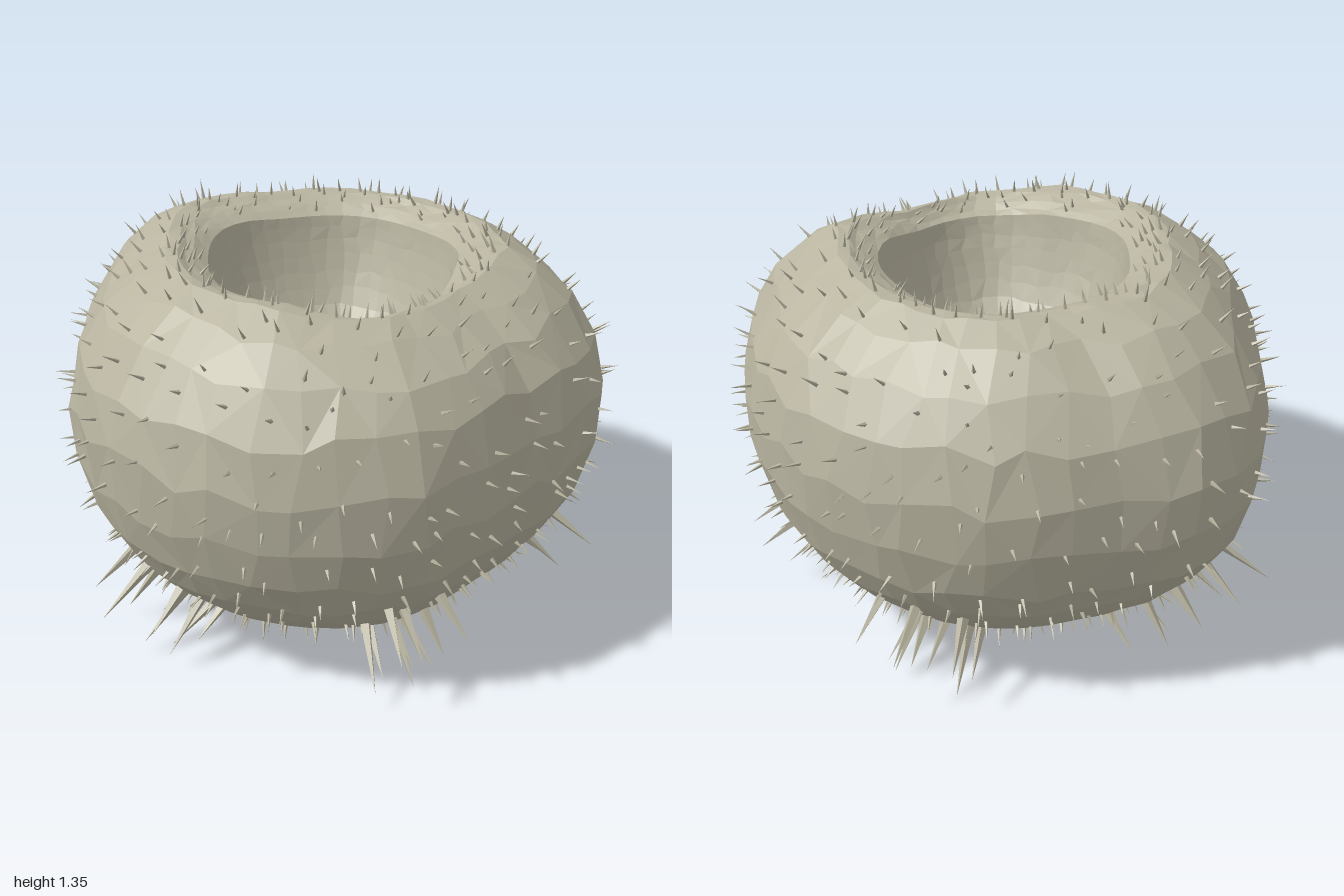
import * as THREE from 'three';
import { mergeGeometries } from 'three/addons/utils/BufferGeometryUtils.js';

const TAU = Math.PI * 2;

// Small seeded random generator
let seed = 7;
function rnd() {
  seed = (seed * 16807) % 2147483647;
  return seed / 2147483647;
}
const spread = (n) => (rnd() * 2 - 1) * n;

// Lobed plan outline: [angle in degrees, radius], angle running from +x to +z
const PLAN = [[-5, 0.935], [10, 0.89], [26, 0.83], [43, 0.86], [59, 0.905], [90, 0.915], [120, 0.915], [143, 0.9],
  [163, 0.865], [183, 0.905], [195, 0.965], [209, 0.975], [231, 0.9], [253, 0.91], [270, 0.905], [288, 0.895],
  [310, 0.89], [335, 0.89], [355, 0.935]];
function planRadius(a) {
  let d = THREE.MathUtils.radToDeg(a) % 360;
  if (d < -5) d += 360;
  if (d >= 355) d -= 360;
  const i = PLAN.findIndex((p) => p[0] > d);
  const [a0, r0] = PLAN[i - 1], [a1, r1] = PLAN[i];
  return THREE.MathUtils.lerp(r0, r1, THREE.MathUtils.smoothstep(d, a0, a1));
}
// Dip of the rim on the front left
const dip = (a) => THREE.MathUtils.smoothstep(Math.cos(a - 0.75), 0.65, 1);
const holeShape = (a) => 1 + 0.025 * Math.cos(5 * (a - 0.3 * Math.PI)) + 0.07 * dip(a);

const profile = (pts) => new THREE.CatmullRomCurve3(pts.map((p) => new THREE.Vector3(...p)), false, 'centripetal');
// Profiles: [radius, height, strength of the lobes]
const OUTER = profile([[0.33, 0, 0], [0.55, 0.1, 0.4], [0.74, 0.265, 0.8], [0.86, 0.46, 1], [0.91, 0.7, 1],
  [0.885, 0.92, 1], [0.8, 1.08, 1], [0.68, 1.19, 1.1], [0.57, 1.25, 1], [0.49, 1.24, 0.6], [0.415, 1.2, 0.1]]);
const INNER = profile([[0.415, 1.2, 0.1], [0.395, 1.1, 0], [0.35, 0.96, 0], [0.29, 0.85, 0], [0.18, 0.78, 0], [0.001, 0.71, 0]]);

// Point on the surface at angle a and profile position t
function surfacePoint(curve, a, t) {
  const p = curve.getPointAt(THREE.MathUtils.clamp(t, 0, 1));
  const hole = THREE.MathUtils.smoothstep(0.58 - p.x, 0, 0.16) * (p.y > 0.5 ? 1 : 0);
  const r = p.x * (1 + p.z * (planRadius(a) / 0.91 - 1)) * (1 + hole * (holeShape(a) - 1));
  const lift = THREE.MathUtils.smoothstep(p.y, 1, 1.25) *
    (0.01 * Math.cos(2 * a) + 0.12 * (planRadius(a) - 0.9) - 0.04 * dip(a));
  return new THREE.Vector3(r * Math.cos(a), p.y + lift, r * Math.sin(a));
}

// Outward direction of the outer surface
function outward(a, t) {
  const up = surfacePoint(OUTER, a, t + 0.02).sub(surfacePoint(OUTER, a, t - 0.02));
  const round = surfacePoint(OUTER, a + 0.06, t).sub(surfacePoint(OUTER, a - 0.06, t));
  return up.cross(round).normalize();
}

// Faceted skin swept round the profile, with slight unevenness
function skin(curve, rows, cols, rough) {
  const pos = [], index = [];
  for (let j = 0; j <= rows; j++) {
    const edge = j === 0 || j === rows;
    for (let i = 0; i < cols; i++) {
      const a = (i / cols) * TAU + (edge ? 0 : spread(rough * 2.5));
      const p = surfacePoint(curve, a, j / rows + (edge ? 0 : spread(rough * 0.8)));
      if (!edge) p.multiplyScalar(1 + spread(rough * 0.3));
      pos.push(p.x, p.y, p.z);
    }
  }
  for (let j = 0; j < rows; j++) {
    for (let i = 0; i < cols; i++) {
      const n = (i + 1) % cols;
      const A = j * cols + i, B = j * cols + n, C = A + cols, D = B + cols;
      if ((i + j) % 2) index.push(A, C, B, B, C, D);
      else index.push(A, C, D, A, D, B);
    }
  }
  let g = new THREE.BufferGeometry();
  g.setAttribute('position', new THREE.Float32BufferAttribute(pos, 3));
  g.setIndex(index);
  g = g.toNonIndexed();
  g.computeVertexNormals();
  return g;
}

// Thin cone standing on the surface
function spike(base, dir, length, radius) {
  const g = new THREE.ConeGeometry(radius, length, 4, 1).toNonIndexed();
  g.computeVertexNormals();
  g.translate(0, length / 2 - 0.01, 0);
  g.applyQuaternion(new THREE.Quaternion().setFromUnitVectors(new THREE.Vector3(0, 1, 0), dir));
  return g.translate(base.x, base.y, base.z);
}

export function createModel() {
  seed = 7;
  const group = new THREE.Group();
  const clay = new THREE.MeshStandardMaterial({ color: 0xb8b4a0 });
  clay.name = 'pale stone';
  const add = (name, geometry) => {
    const mesh = new THREE.Mesh(geometry, clay);
    mesh.name = name;
    group.add(mesh);
  };

  // Body, hollow and flat underside
  add('body', skin(OUTER, 18, 44, 0.012));
  add('hollow', skin(INNER, 12, 44, 0.012));
  add('underside', new THREE.CircleGeometry(0.33, 44).rotateX(Math.PI / 2));

  // Short spines in rows over the whole outside, sparser towards the opening
  const spines = [];
  const rows = 19;
  for (let j = 0; j < rows; j++) {
    const t = 0.14 + (0.79 * j) / (rows - 1);
    const count = Math.round((OUTER.getPointAt(t).x * TAU) / (t > 0.84 ? 0.2 : 0.13));
    for (let i = 0; i < count; i++) {
      const a = ((i + (j % 2) / 2 + spread(0.35)) / count) * TAU;
      const tt = t + spread(0.02);
      const dir = outward(a, tt).add(new THREE.Vector3(spread(0.2), spread(0.2), spread(0.2))).normalize();
      const length = (t > 0.84 ? 0.035 : 0.045) + rnd() * 0.03;
      spines.push(spike(surfacePoint(OUTER, a, tt), dir, length, 0.0075));
    }
  }
  add('shortSpines', mergeGeometries(spines));

  // Five clusters of long spines near the foot
  const long = [];
  for (let k = 0; k < 5; k++) {
    const middle = THREE.MathUtils.degToRad(54 + 72 * k);
    for (let j = 0; j < 3; j++) {
      for (let i = 0; i < 3; i++) {
        const a = middle + (i - 1) * 0.18 + spread(0.07);
        const t = 0.14 + j * 0.085 + spread(0.02);
        const base = surfacePoint(OUTER, a, t);
        const dir = outward(a, t);
        const length = 0.17 + rnd() * 0.08;
        dir.y = Math.max(dir.y, -0.8 * (base.y - 0.01) / length);
        long.push(spike(base, dir.normalize(), length, 0.02));
      }
    }
  }
  add('longSpines', mergeGeometries(long));
  return group;
}
